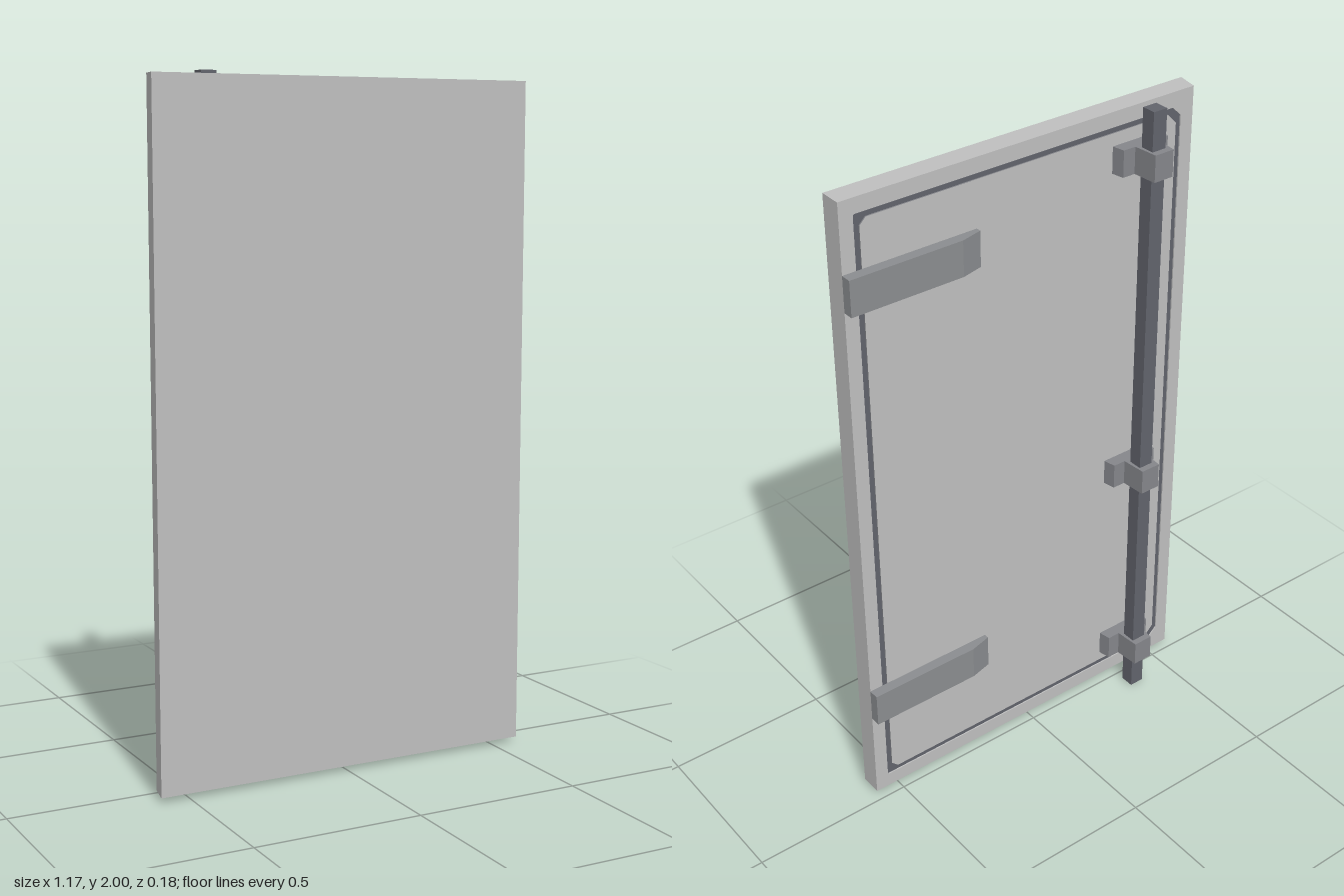
import * as THREE from 'three';

const mat = (name, color) => {
  const m = new THREE.MeshStandardMaterial({ color });
  m.name = name;
  return m;
};

// Extrude an (x, z) outline upward from y0 to y1
function prism(outline, y0, y1) {
  const shape = new THREE.Shape(outline.map(([x, z]) => new THREE.Vector2(x, -z)));
  const geo = new THREE.ExtrudeGeometry(shape, { depth: y1 - y0, bevelEnabled: false });
  return geo.rotateX(-Math.PI / 2).translate(0, y0, 0);
}

// Rectangle with corner cuts: cl on the -x side, cr on the +x side
function cutRect(x0, x1, y0, y1, cl, cr) {
  return [
    [x0 + cl, y0], [x1 - cr, y0], [x1, y0 + cr], [x1, y1 - cr],
    [x1 - cr, y1], [x0 + cl, y1], [x0, y1 - cl], [x0, y0 + cl],
  ].map(([x, y]) => new THREE.Vector2(x, y));
}

// Extrude an upright outline between two depths
function plate(outline, z0, z1, hole) {
  const shape = new THREE.Shape(outline);
  if (hole) shape.holes.push(new THREE.Path(hole));
  return new THREE.ExtrudeGeometry(shape, { depth: z1 - z0, bevelEnabled: false }).translate(0, 0, z0);
}

const BACK = 0.022, FLOOR = 0.032, FRONT = 0.088;

// Slant the free edge of the door: narrower at the back
function slantEdge(geo) {
  const p = geo.attributes.position;
  for (let i = 0; i < p.count; i++) {
    if (p.getX(i) < -0.58) p.setX(i, -0.573 - 0.013 * (p.getZ(i) - BACK) / (FRONT - BACK));
  }
  geo.computeVertexNormals();
  return geo;
}

export function createModel() {
  const panelMat = mat('light grey panel', 0xbfbfbf);
  const hingeMat = mat('hinge grey', 0x8b8d90);
  const bracketMat = mat('bracket grey', 0x85868b);
  const barMat = mat('dark steel', 0x62646c);

  const group = new THREE.Group();
  group.name = 'door';
  const add = (name, geo, material) => {
    const mesh = new THREE.Mesh(geo, material);
    mesh.name = name;
    group.add(mesh);
  };

  // Door leaf: front slab, raised rim and inner panel with a groove between
  const edge = [[-0.586, 0.015], [0.582, 0.015], [0.582, 1.985], [-0.586, 1.985]]
    .map(([x, y]) => new THREE.Vector2(x, y));
  const outer = cutRect(-0.53, 0.54, 0.06, 1.94, 0.03, 0.004);
  const inner = cutRect(-0.513, 0.523, 0.077, 1.923, 0.03, 0.02);
  add('doorSlab', slantEdge(plate(edge, FLOOR, FRONT)), panelMat);
  add('doorRim', slantEdge(plate(edge, BACK, FLOOR, outer)), panelMat);
  add('innerPanel', plate(inner, BACK, FLOOR), [panelMat, bracketMat]);

  // Seal lying in the groove
  add('grooveSeal', plate(outer, FLOOR - 0.006, FLOOR, inner), barMat);

  // Strap hinges with a tapered tip
  const strap = [[0.168, BACK], [0.582, BACK], [0.582, -0.01], [0.235, -0.01], [0.168, 0.007]];
  for (const y of [0.363, 1.731]) add('strapHinge', prism(strap, y - 0.053, y + 0.053), hingeMat);

  // Guide brackets: flanged foot and a tapered head around the bar
  const half = [[0.085, BACK], [0.078, -0.016], [0.038, -0.016], [0.032, -0.092]];
  const cx = -0.373;
  const guide = [
    ...half.map(([x, z]) => [cx + x, z]),
    ...[...half].reverse().map(([x, z]) => [cx - x, z]),
  ];
  for (const y of [0.148, 0.82, 1.845]) add('guideBracket', prism(guide, y - 0.04, y + 0.04), bracketMat);

  // Full-height square locking bar
  add('lockingBar', new THREE.BoxGeometry(0.046, 2, 0.044).translate(-0.37, 1, -0.05), barMat);

  return group;
}
